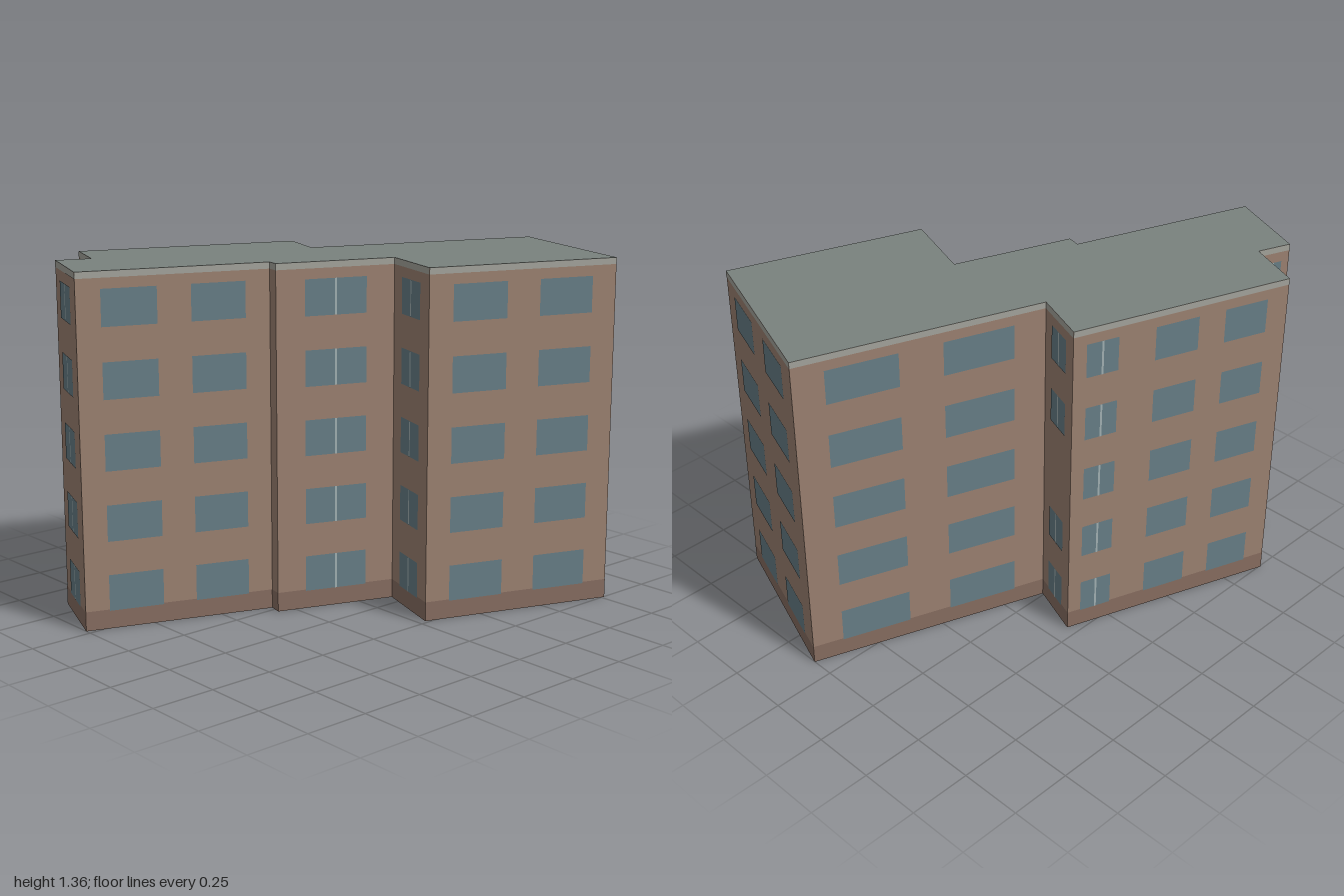
import * as THREE from 'three';

const HEIGHT = 1.355, FLOORS = 5, FLOOR_PITCH = 0.27, FIRST_ROW = 0.14, WINDOW_H = 0.14;
const BASE_H = 0.075, COPING_H = 0.025;

const paint = (color) => new THREE.MeshStandardMaterial({ color, side: THREE.DoubleSide });

// Window layouts: [start, end, hasMullion] as fractions of the wall length
const WIDE = [[0.125, 0.41], [0.585, 0.87]];
const PAIR = [[0.24, 0.76, true]];
const BACK = [[0.06, 0.205, true], [0.375, 0.575], [0.70, 0.90]];

// Footprint corners, each starting a wall: x, z, windows, floors without windows
const WALLS = [
  { x: -1, z: -0.275, windows: WIDE },
  { x: -0.305, z: -0.022, windows: [] },
  { x: -0.317, z: 0.028, windows: PAIR },
  { x: 0.133, z: 0.193, windows: PAIR },
  { x: 0.032, z: 0.485, windows: WIDE },
  { x: 0.764, z: 0.752, windows: WIDE },
  { x: 1, z: 0.09, windows: WIDE },
  { x: 0.09, z: -0.242, windows: PAIR, blank: [2] },
  { x: 0.17, z: -0.455, windows: BACK },
  { x: -0.665, z: -0.754, windows: PAIR },
  { x: -0.748, z: -0.543, windows: PAIR },
  { x: -0.876, z: -0.592, windows: PAIR },
];

export function createModel() {
  const building = new THREE.Group();
  building.name = 'apartmentBlock';
  const wallMat = paint(0x9c8272), baseMat = paint(0x886e61), copingMat = paint(0xa5a59d);
  const glassMat = paint(0x687f87), mullionMat = paint(0xa3b2b4), roofMat = paint(0x7a827e);
  // Overlays show only from outside, so the hollow interior stays plain
  for (const m of [baseMat, copingMat, glassMat, mullionMat]) m.side = THREE.FrontSide;

  // Upright rectangle centred at (x, y), lying just off the wall by depth
  function panel(parent, name, mat, x, y, w, h, depth) {
    const mesh = new THREE.Mesh(new THREE.PlaneGeometry(w, h), mat);
    mesh.name = name;
    mesh.position.set(x, y, depth);
    parent.add(mesh);
  }

  // Facades: local x runs along the wall, local z points outward
  WALLS.forEach((start, i) => {
    const end = WALLS[(i + 1) % WALLS.length];
    const dx = end.x - start.x, dz = end.z - start.z, length = Math.hypot(dx, dz);
    const facade = new THREE.Group();
    facade.name = `facade${i + 1}`;
    facade.position.set(start.x, 0, start.z);
    facade.rotation.y = -Math.atan2(dz, dx);
    building.add(facade);

    panel(facade, 'wall', wallMat, length / 2, HEIGHT / 2, length, HEIGHT, 0);
    panel(facade, 'basePlinth', baseMat, length / 2, BASE_H / 2, length, BASE_H, 0.001);
    panel(facade, 'roofCoping', copingMat, length / 2, HEIGHT - COPING_H / 2, length, COPING_H, 0.001);

    for (let floor = 0; floor < FLOORS; floor++) {
      if (start.blank?.includes(floor)) continue;
      const y = FIRST_ROW + floor * FLOOR_PITCH;
      for (const [a, b, mullion] of start.windows) {
        const x = (a + b) / 2 * length;
        panel(facade, 'window', glassMat, x, y, (b - a) * length, WINDOW_H, 0.002);
        if (mullion) panel(facade, 'mullion', mullionMat, x, y, 0.008, WINDOW_H, 0.003);
      }
    }
  });

  // Flat roof over the whole footprint
  const outline = new THREE.Shape(WALLS.map((p) => new THREE.Vector2(p.x, -p.z)));
  const roof = new THREE.Mesh(new THREE.ShapeGeometry(outline).rotateX(-Math.PI / 2), roofMat);
  roof.name = 'roof';
  roof.position.y = HEIGHT;
  building.add(roof);

  return building;
}
